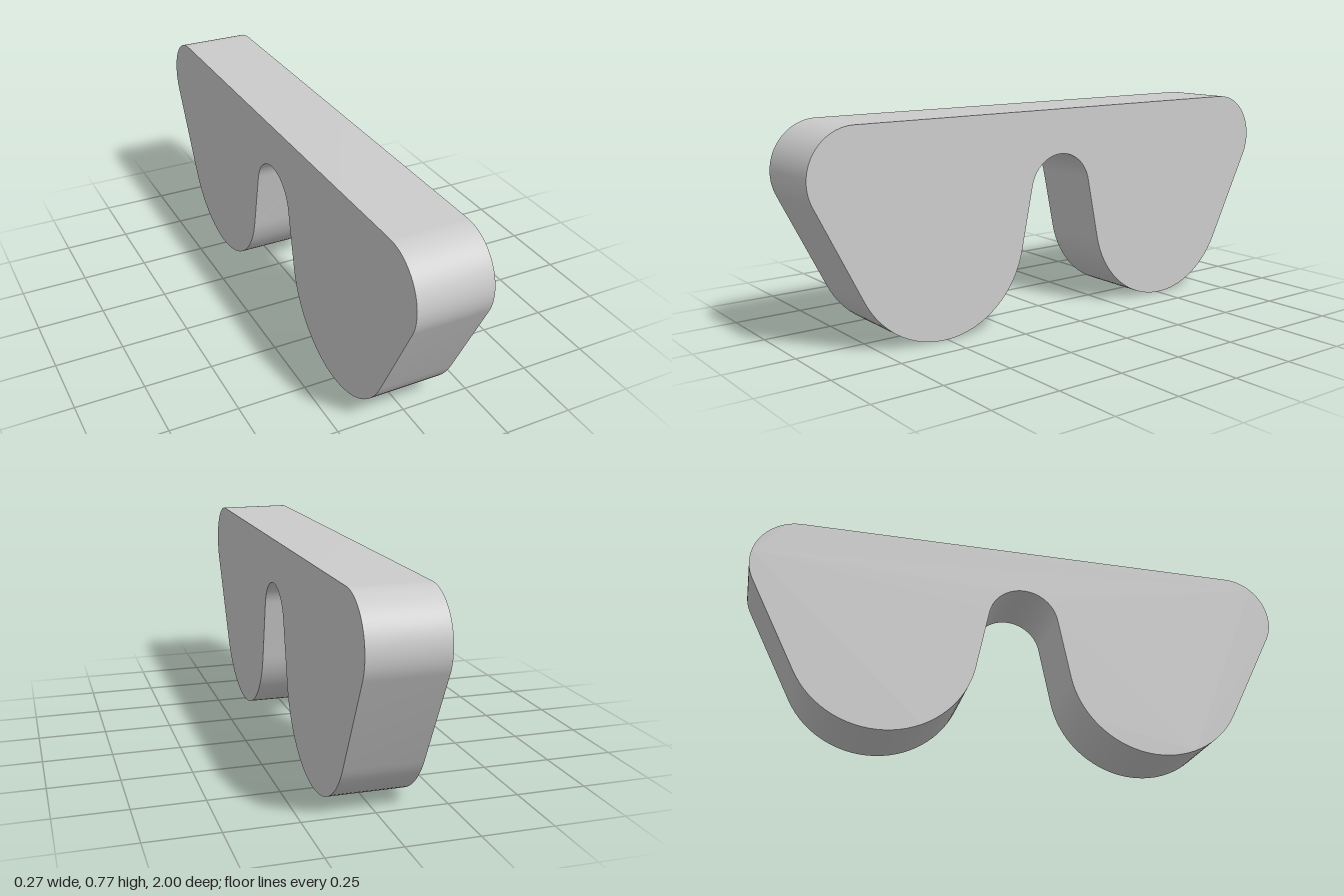
import * as THREE from 'three';
import { toCreasedNormals } from 'three/addons/utils/BufferGeometryUtils.js';

const WIDTH = 0.27;
const lens = { x: 0.51, y: 0.34, r: 0.34 };
const corner = { x: 0.83, y: 0.596, r: 0.17 };
const arch = { x: 0, y: 0.47, r: 0.133 };

// Direction from circle a's centre to its touching point on a line shared with circle b
// (b.r is counted negative when the line crosses between the circles)
function tangentAngle(a, b, radiusB, turn) {
  const dx = b.x - a.x, dy = b.y - a.y;
  return Math.atan2(dy, dx) + turn * Math.acos((a.r - radiusB) / Math.hypot(dx, dy));
}

// Mask outline: tangent arcs joined by straight lines, symmetric about the middle
function outline() {
  const outer = tangentAngle(lens, corner, corner.r, -1);
  const inner = tangentAngle(lens, arch, -arch.r, 1);
  const shape = new THREE.Shape();
  shape.absarc(lens.x, lens.y, lens.r, inner, outer, false);
  shape.absarc(corner.x, corner.y, corner.r, outer, Math.PI / 2, false);
  shape.absarc(-corner.x, corner.y, corner.r, Math.PI / 2, Math.PI - outer, false);
  shape.absarc(-lens.x, lens.y, lens.r, Math.PI - outer, Math.PI - inner, false);
  shape.absarc(arch.x, arch.y, arch.r, -inner, inner - Math.PI, true);
  shape.closePath();
  return shape;
}

export function createModel() {
  const group = new THREE.Group();
  group.name = 'glassesBlock';

  // Solid plate, with its outline turned to lie along z
  const extruded = new THREE.ExtrudeGeometry(outline(), {
    depth: WIDTH, bevelEnabled: false, curveSegments: 16,
  });
  extruded.translate(0, 0, -WIDTH / 2);
  extruded.rotateY(-Math.PI / 2);

  const body = new THREE.Mesh(
    toCreasedNormals(extruded, Math.PI / 6),
    new THREE.MeshStandardMaterial({ color: 0xcccccc }),
  );
  body.name = 'glassesBody';
  group.add(body);
  return group;
}
